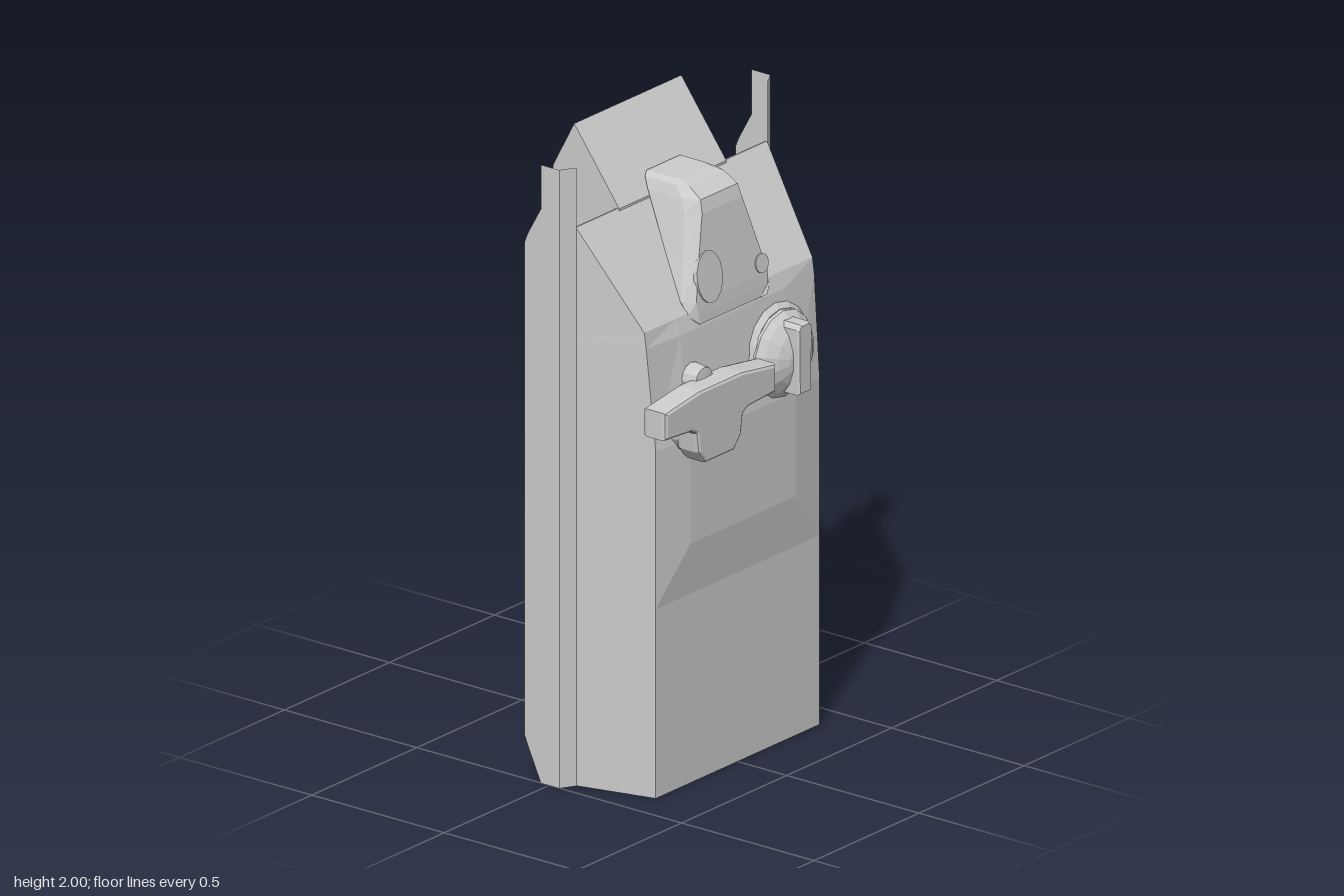
import * as THREE from 'three';

const mat = new THREE.MeshStandardMaterial({ color: 0xcccccc, flatShading: true });
const thinMat = new THREE.MeshStandardMaterial({ color: 0xcccccc, flatShading: true, side: THREE.DoubleSide });

function add(parent, name, geometry, x = 0, y = 0, z = 0, material = mat) {
  const mesh = new THREE.Mesh(geometry, material);
  mesh.name = name;
  mesh.position.set(x, y, z);
  parent.add(mesh);
  return mesh;
}

// Skins closed horizontal loops, listed bottom to top, and caps both ends
function loft(rows) {
  const n = rows[0].length, index = [];
  for (let i = 0; i < rows.length - 1; i++) {
    for (let j = 0; j < n; j++) {
      const k = (j + 1) % n;
      const a = i * n + j, b = i * n + k, c = b + n, d = a + n;
      index.push(a, b, c, a, c, d);
    }
  }
  const top = (rows.length - 1) * n;
  for (let j = 1; j < n - 1; j++) {
    index.push(0, j + 1, j, top, top + j, top + j + 1);
  }
  const g = new THREE.BufferGeometry();
  g.setAttribute('position', new THREE.Float32BufferAttribute(rows.flat(2), 3));
  g.setIndex(index);
  g.computeVertexNormals();
  return g;
}

const shapeOf = (pts) => new THREE.Shape(pts.map(([x, y]) => new THREE.Vector2(x, y)));

// Surface of revolution pointing forward (+z); profile is [radius, z]
function forwardLathe(profile, sides) {
  return new THREE.LatheGeometry(profile.map(([r, h]) => new THREE.Vector2(r, h)), sides).rotateX(Math.PI / 2);
}

export function createModel() {
  const group = new THREE.Group();
  group.name = 'controlPanel';

  // Front shell: y, inner x, inner z, edge x, edge z
  const shell = [
    [0, 0.39, 0.315, 0.39, 0.315],
    [0.6, 0.39, 0.315, 0.39, 0.315],
    [0.77, 0.25, 0.335, 0.39, 0.315],
    [1.1, 0.25, 0.335, 0.39, 0.315],
    [1.42, 0.25, 0.295, 0.4, 0.287],
    [1.47, 0.25, 0.28, 0.4, 0.28],
    [1.77, 0.25, 0.065, 0.455, 0.065],
  ].map(([y, xi, zi, xe, ze]) => [
    [-0.455, y, 0.06], [-xe, y, ze], [-xi, y, zi],
    [xi, y, zi], [xe, y, ze], [0.455, y, 0.06],
  ]);
  add(group, 'frontShell', loft(shell));

  // Rear box with sloped ends
  const boxSide = shapeOf([[0.07, 0], [0.07, 1.77], [-0.1, 2], [-0.18, 1.85], [-0.18, 0.2]]);
  const box = new THREE.ExtrudeGeometry(boxSide, { depth: 0.51, bevelEnabled: false });
  add(group, 'rearBox', box.translate(0, 0, -0.255).rotateY(-Math.PI / 2));

  // Side flanges: a narrow angled strip and a chamfered fin
  const finShape = shapeOf([[0.04, 0], [-0.03, 0], [-0.08, 0.11], [-0.092, 0.14],
    [-0.092, 1.7], [-0.08, 1.73], [-0.03, 1.82], [-0.03, 1.96], [0.04, 1.96]]);
  for (const s of [-1, 1]) {
    const flange = new THREE.Group();
    flange.name = s > 0 ? 'leftFlange' : 'rightFlange';
    add(flange, 'fin', new THREE.ShapeGeometry(finShape).rotateY(-Math.PI / 2), s * 0.502, 0, 0, thinMat);
    const strip = new THREE.PlaneGeometry(Math.hypot(0.047, 0.027), 1.96);
    add(flange, 'strip', strip, s * 0.4785, 0.98, 0.0535, thinMat).rotation.y = s * Math.atan2(0.027, 0.047);
    group.add(flange);
  }

  // Tapered nose on the slope: y, front half width, half width, front z, shoulder z
  const nose = [
    [1.43, 0.13, 0.16, 0.3, 0.29],
    [1.46, 0.165, 0.195, 0.298, 0.275],
    [1.5, 0.17, 0.2, 0.294, 0.262],
    [1.62, 0.135, 0.16, 0.275, 0.235],
    [1.75, 0.095, 0.122, 0.256, 0.21],
    [1.79, 0.088, 0.11, 0.245, 0.19],
    [1.82, 0.083, 0.098, 0.2, 0.16],
    [1.832, 0.07, 0.08, 0.15, 0.12],
  ].map(([y, wf, w, zf, zs]) => {
    const zb = 0.27 - (y - 1.47) * 0.65;
    const zm = Math.max(zs, zb + 0.005);
    return [[-w, y, zb], [-w, y, zm], [-wf, y, zf], [wf, y, zf], [w, y, zm], [w, y, zb]];
  });
  add(group, 'nose', loft(nose));

  // Round pads on the face of the nose
  for (const [name, x, y, z, rx, ry] of [
    ['largePad', -0.1, 1.56, 0.283, 0.06, 0.08],
    ['smallPad', 0.145, 1.53, 0.286, 0.03, 0.03],
  ]) {
    const pad = new THREE.CylinderGeometry(1, 1, 0.014, 16).scale(rx, 1, ry);
    add(group, name, pad.rotateX(Math.PI / 2 - 0.16), x, y, z);
  }

  // T-shaped handle
  const handle = new THREE.Group();
  handle.name = 'handle';
  const tee = shapeOf([[-0.465, 1.19], [-0.345, 1.182], [-0.315, 1.165], [-0.305, 1.1], [-0.275, 1.065],
    [-0.15, 1.065], [-0.12, 1.1], [-0.11, 1.165], [-0.08, 1.182], [0.045, 1.19],
    [0.045, 1.26], [-0.11, 1.282], [-0.31, 1.282], [-0.465, 1.26]]);
  add(handle, 'grip', new THREE.ExtrudeGeometry(tee, {
    depth: 0.056, bevelThickness: 0.015, bevelSize: 0.01, bevelSegments: 2,
  }), 0, 0, 0.349);
  add(handle, 'basePlate', forwardLathe([[0, 0], [0.12, 0], [0.11, 0.035], [0, 0.035]], 16), -0.215, 1.165, 0.31);
  add(handle, 'pivot', forwardLathe([[0, 0], [0.045, 0], [0.04, 0.05], [0, 0.055]], 12), -0.215, 1.285, 0.31);
  group.add(handle);

  // Domed dial with a raised pointer
  const dial = new THREE.Group();
  dial.name = 'dial';
  dial.position.set(0.2, 1.235, 0.305);
  const rim = add(dial, 'rim', forwardLathe([[0, -0.01], [0.148, -0.01], [0.148, 0.01], [0.13, 0.025], [0, 0.025]], 16));
  rim.position.set(-0.002, 0.008, 0);
  rim.rotation.x = -0.1;
  add(dial, 'dome', forwardLathe(
    [[0.138, 0], [0.138, 0.025], [0.118, 0.046], [0.085, 0.07], [0.045, 0.086], [0, 0.092]], 14));
  const pointer = shapeOf([[-0.025, -0.1], [0.025, -0.1], [0.028, 0.1], [0.018, 0.112], [-0.018, 0.112], [-0.028, 0.1]]);
  add(dial, 'pointer', new THREE.ExtrudeGeometry(pointer, {
    depth: 0.08, bevelThickness: 0.008, bevelSize: 0.005, bevelSegments: 1,
  }), 0, 0, 0.02);
  group.add(dial);

  // Separate tapered knob behind the box
  const knob = [[0, 0], [0.102, 0], [0.108, 0.01], [0.102, 0.06], [0.086, 0.11], [0.062, 0.168], [0, 0.168]];
  add(group, 'rearKnob', new THREE.LatheGeometry(knob.map(([r, h]) => new THREE.Vector2(r, h)), 14), 0, 1.225, -0.315);

  return group;
}
